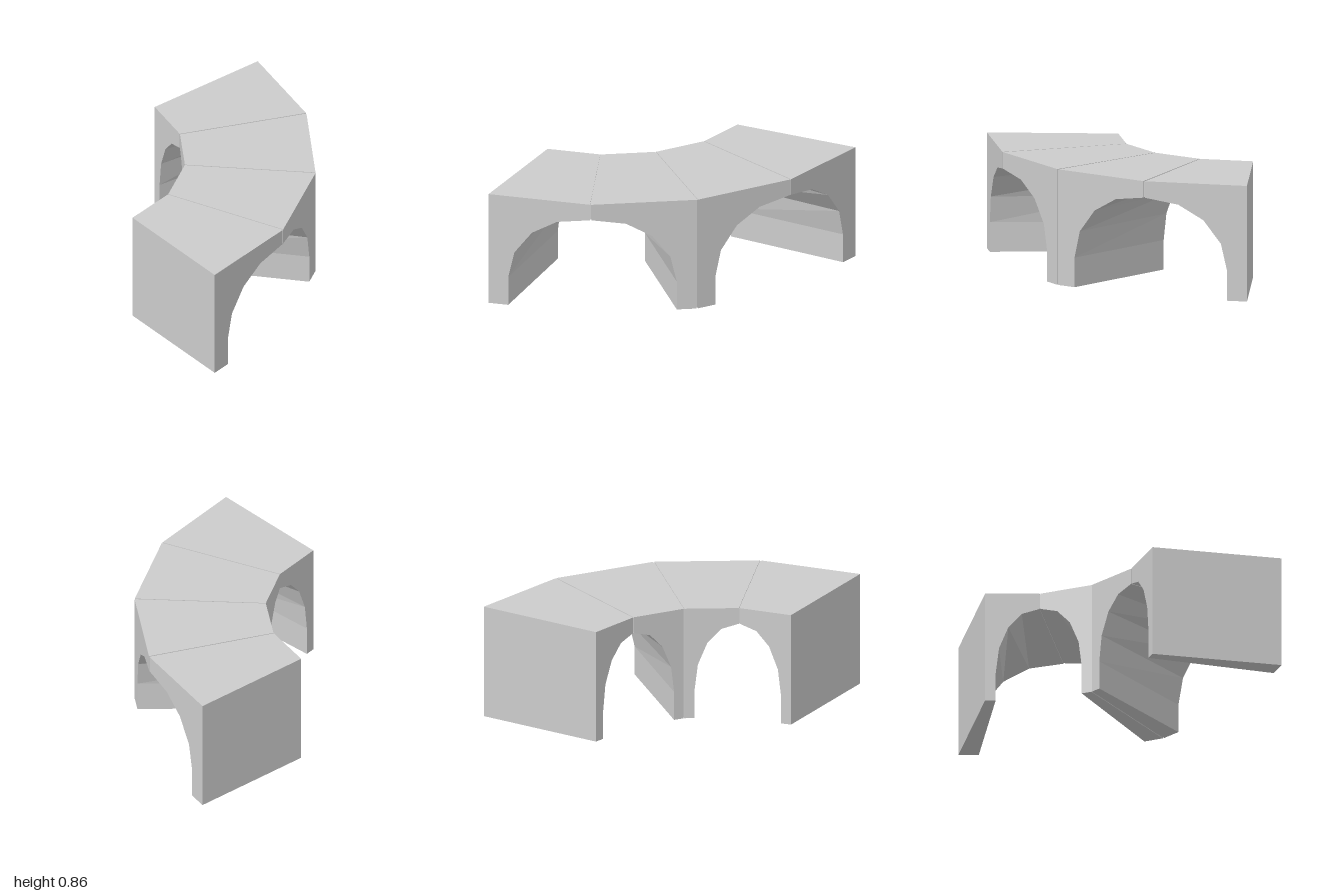
import * as THREE from 'three';

const TOP = 0.86, GAP = 0.008, INSET = 0.005;

// Plan corners [x, z] of the radial joints along the curve
const OUTER = [[-1, -1], [-0.242, -0.85], [0.41, -0.415], [0.845, 0.237], [0.997, 0.997]];
const INNER = [[-1, -0.037], [-0.607, 0.041], [-0.268, 0.265], [-0.043, 0.602], [0.035, 0.997]];

// Half arch [t, y]: t runs from the pier end (0) to the crown (1)
const ARCH = [[0.193, 0], [0.193, 0.22], [0.253, 0.42], [0.424, 0.59], [0.669, 0.697], [1 - GAP, 0.737]];

// Extrude a (t, y) outline across the width, then bend it onto one plan bay
function bayGeometry(bay, outline, inset = 0) {
  const shape = new THREE.Shape(outline.map(([t, y]) => new THREE.Vector2(t, y)));
  const geo = new THREE.ExtrudeGeometry(shape, { depth: 1, bevelEnabled: false });
  const p = geo.attributes.position;
  const mix = THREE.MathUtils.lerp;
  const at = (line, t, k) => mix(line[bay][k], line[bay + 1][k], t);
  for (let i = 0; i < p.count; i++) {
    const t = p.getX(i), d = mix(inset, 1 - inset, p.getZ(i));
    p.setX(i, mix(at(OUTER, t, 0), at(INNER, t, 0), d));
    p.setZ(i, mix(at(OUTER, t, 1), at(INNER, t, 1), d));
  }
  geo.computeVertexNormals();
  return geo;
}

export function createModel() {
  const group = new THREE.Group();
  group.name = 'curvedViaduct';
  const stone = new THREE.MeshStandardMaterial({ color: 0xcccccc, flatShading: true });
  stone.name = 'paleGreyStone';
  const add = (name, geo) => {
    const mesh = new THREE.Mesh(geo, stone);
    mesh.name = name;
    group.add(mesh);
  };

  for (let bay = 0; bay < 4; bay++) {
    const crownFirst = bay % 2 === 1;
    // Half-arch block; the two end faces stay flush, the joints keep a small gap
    const foot = bay === 0 || bay === 3 ? 0 : GAP;
    const half = [[foot, 0], ...ARCH, [1 - GAP, TOP], [foot, TOP]];
    add('archBay' + (bay + 1), bayGeometry(bay, half.map(([t, y]) => [crownFirst ? 1 - t : t, y])));

    // Recessed mortar filling both halves of the joints
    const joint = (name, t0, t1, y0) => add(name, bayGeometry(bay,
      [[t0, y0], [t1, y0], [t1, TOP - INSET], [t0, TOP - INSET]], INSET));
    if (bay > 0) joint('jointStart' + (bay + 1), 0, GAP, crownFirst ? 0.742 : INSET);
    if (bay < 3) joint('jointEnd' + (bay + 1), 1 - GAP, 1, crownFirst ? INSET : 0.742);
  }
  return group;
}
